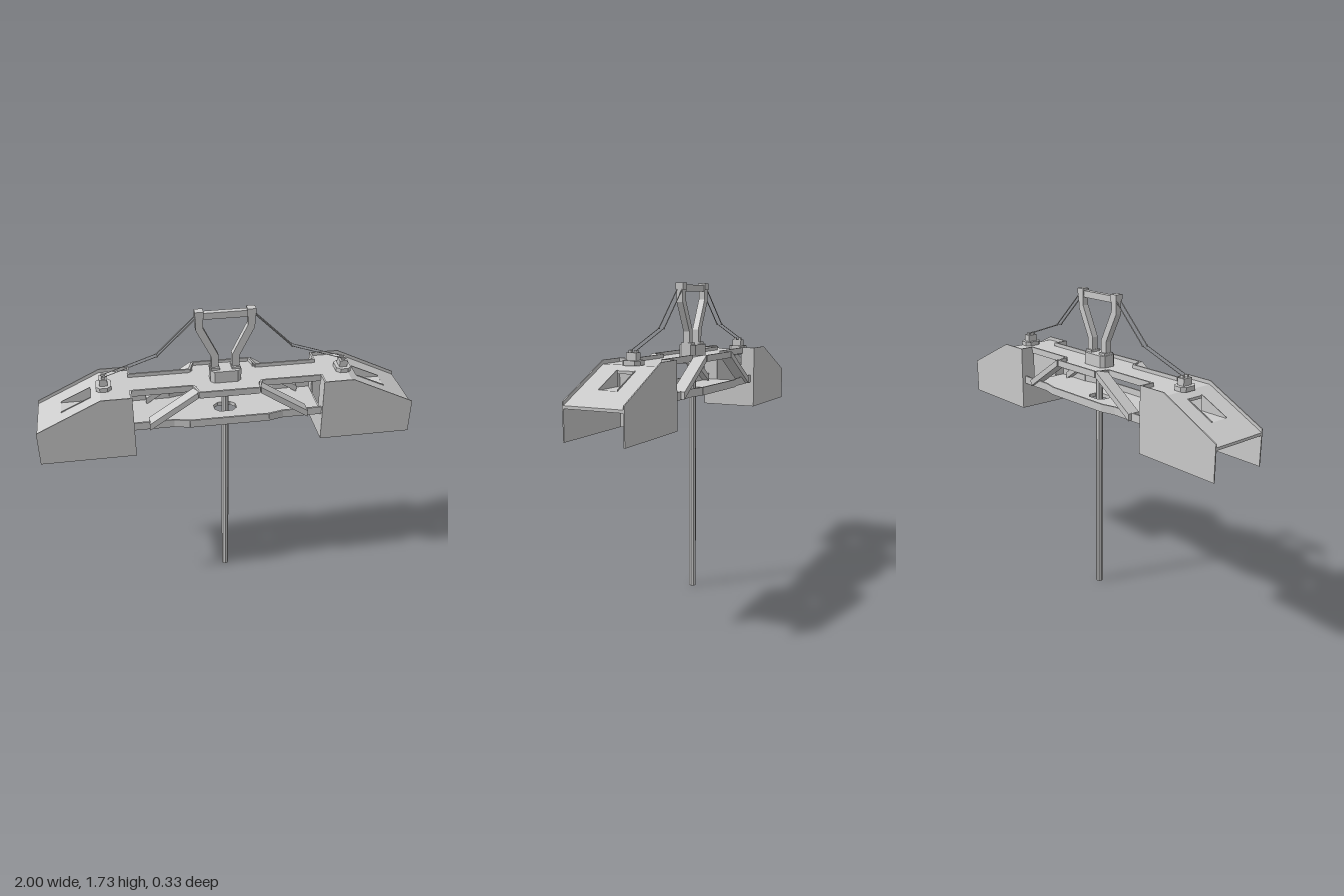
import * as THREE from 'three';

const mat = new THREE.MeshStandardMaterial({ color: 0xcccccc, flatShading: true, side: THREE.DoubleSide });

function add(parent, name, geo, x = 0, y = 0, z = 0) {
  const m = new THREE.Mesh(geo, mat);
  m.name = name;
  m.position.set(x, y, z);
  parent.add(m);
  return m;
}
// Box given by its min and max on each axis
function box(parent, name, x0, x1, y0, y1, z0, z1) {
  return add(parent, name, new THREE.BoxGeometry(x1 - x0, y1 - y0, z1 - z0),
    (x0 + x1) / 2, (y0 + y1) / 2, (z0 + z1) / 2);
}
const toShape = pts => new THREE.Shape(pts.map(p => new THREE.Vector2(...p)));
const extrude = (shape, depth) => new THREE.ExtrudeGeometry(shape, { depth, bevelEnabled: false });
// Horizontal plate from an (x, z) outline, top surface at y
function plate(parent, name, pts, y, t, hole) {
  const s = toShape(pts);
  if (hole) s.holes.push(new THREE.Path(hole.map(p => new THREE.Vector2(...p))));
  return add(parent, name, extrude(s, t).rotateX(Math.PI / 2), 0, y, 0);
}
// Upright rim wall along a path of (x, z) points
function rim(parent, name, pts, y0, y1, t) {
  for (let i = 0; i + 1 < pts.length; i++) {
    const [ax, az] = pts[i], [bx, bz] = pts[i + 1];
    const m = add(parent, name, new THREE.BoxGeometry(Math.hypot(bx - ax, bz - az), y1 - y0, t),
      (ax + bx) / 2, (y0 + y1) / 2, (az + bz) / 2);
    m.rotation.y = -Math.atan2(bz - az, bx - ax);
  }
}
// Straight round rod between two points
function rod(parent, name, a, b, r) {
  const va = new THREE.Vector3(...a), d = new THREE.Vector3(...b).sub(va);
  const m = add(parent, name, new THREE.CylinderGeometry(r, r, d.length(), 6));
  m.position.copy(va).addScaledVector(d, 0.5);
  m.quaternion.setFromUnitVectors(new THREE.Vector3(0, 1, 0), d.normalize());
}
// Rectangle with cut corners, centred on (cx, 0)
function cutRect(cx, hx, hz, c) {
  return [[hx - c, -hz], [hx, c - hz], [hx, hz - c], [hx - c, hz],
    [c - hx, hz], [-hx, hz - c], [-hx, c - hz], [c - hx, -hz]].map(([x, z]) => [x + cx, z]);
}
// Closed outline from its +z half, listed from -x to +x
const closed = half => [...half, ...half.map(([x, z]) => [x, -z]).reverse()];

// Everything on the +x half
function makeHalf() {
  const g = new THREE.Group();
  const W = 0.165, t = 0.006;

  // Housing side panels
  const side = toShape([[0.5, 1], [1, 1], [1, 1.19], [0.66, 1.355], [0.5, 1.355]]);
  for (const z of [W - t, -W]) add(g, 'housingSide', extrude(side, t), 0, 0, z);

  // Housing inner wall with the opening for deck and beam
  const wall = toShape([[-W, 1], [W, 1], [W, 1.355], [0.08, 1.355], [0.08, 1.148],
    [-0.08, 1.148], [-0.08, 1.355], [-W, 1.355]]);
  add(g, 'housingInnerWall', extrude(wall, 0.01).rotateY(-Math.PI / 2), 0.51);

  // Roof: flat part and sloping part with a recessed scoop
  box(g, 'roofFlat', 0.5, 0.66, 1.32, 1.335, -W + t, W - t);
  const slope = plate(g, 'roofSlope', [[0.66, -W + t], [1, -W + t], [1, W - t], [0.66, W - t]], 0, 0.015,
    [[0.71, -0.05], [0.87, -0.05], [0.87, 0.05], [0.71, 0.05]]);
  const p = slope.geometry.attributes.position;
  for (let i = 0; i < p.count; i++) p.setY(i, p.getY(i) + 1.335 - (p.getX(i) - 0.66) * 0.48);
  slope.geometry.computeVertexNormals();
  box(g, 'scoopFloor', 0.71, 0.87, 1.228, 1.234, -0.05, 0.05);
  const cheek = toShape([[0.71, 1.23], [0.87, 1.23], [0.87, 1.24], [0.71, 1.315]]);
  for (const z of [0.048, -0.052]) add(g, 'scoopCheek', extrude(cheek, 0.004), 0, 0, z);

  // Cable anchor on the roof
  plate(g, 'anchorBase', cutRect(0.64, 0.04, 0.05, 0.02), 1.358, 0.025);
  box(g, 'anchorPost', 0.618, 0.66, 1.355, 1.395, -0.028, 0.028);
  for (const z of [-0.015, 0.015]) {
    box(g, 'anchorLug', 0.628, 0.648, 1.39, 1.407, z - 0.006, z + 0.006);
    // Two-part stay cable with a bead at the joint
    rod(g, 'upperCable', [0.145, 1.705, z], [0.355, 1.5, z], 0.003);
    rod(g, 'lowerCable', [0.355, 1.5, z], [0.638, 1.403, z], 0.0018);
    add(g, 'cableBead', new THREE.IcosahedronGeometry(0.006, 0), 0.355, 1.5, z);
  }

  // Diagonal struts between beam and deck
  const strut = toShape([[0.165, 1.32], [0.165, 1.355], [0.42, 1.187], [0.42, 1.15]]);
  for (const z of [0.095, -W]) add(g, 'diagonalStrut', extrude(strut, W - 0.095), 0, 0, z);

  // Handle leg
  const leg = toShape([[0.036, 1.39], [0.074, 1.39], [0.074, 1.472], [0.153, 1.63], [0.153, 1.7],
    [0.116, 1.7], [0.116, 1.642], [0.036, 1.48]]);
  add(g, 'handleLeg', extrude(leg, 0.036), 0, 0, -0.018);
  box(g, 'handleCap', 0.112, 0.156, 1.695, 1.732, -0.022, 0.022);
  box(g, 'legSocket', 0.032, 0.078, 1.395, 1.412, -0.03, 0.03);
  return g;
}

export function createModel() {
  const model = new THREE.Group();
  const right = makeHalf(), left = makeHalf();
  right.name = 'rightArm';
  left.name = 'leftArm';
  left.rotation.y = Math.PI;
  model.add(left, right);

  // Pole
  add(model, 'pole', new THREE.CylinderGeometry(0.02, 0.02, 1.36, 8), 0, 0.68, 0);

  // Upper beam: tray with a wide centre and a raised rim
  const beam = [[-0.5, 0.086], [-0.18, 0.086], [-0.155, 0.16], [0.155, 0.16], [0.18, 0.086], [0.5, 0.086]];
  plate(model, 'upperBeam', closed(beam), 1.335, 0.015);
  // Lower deck: tray with a hole round the pole
  const deck = [[-0.5, 0.14], [-0.29, 0.14], [-0.21, 0.16], [0.21, 0.16], [0.29, 0.14], [0.5, 0.14]];
  plate(model, 'lowerDeck', closed(deck), 1.155, 0.008, cutRect(0, 0.06, 0.045, 0.025));
  for (const s of [1, -1]) {
    rim(model, 'beamRim', beam.map(([x, z]) => [x, s * z]), 1.32, 1.355, 0.01);
    rim(model, 'deckRim', deck.map(([x, z]) => [x, s * z]), 1.147, 1.19, 0.01);
  }

  // Hubs that hold the pole
  plate(model, 'lowerCollar', cutRect(0, 0.09, 0.065, 0.03), 1.148, 0.014, cutRect(0, 0.06, 0.045, 0.025));
  plate(model, 'hubUnderside', cutRect(0, 0.08, 0.05, 0.025), 1.322, 0.024);
  plate(model, 'hub', cutRect(0, 0.082, 0.05, 0.02), 1.4, 0.066);

  // Handle crossbar
  box(model, 'handleCrossbar', -0.12, 0.12, 1.687, 1.722, -0.015, 0.015);
  return model;
}
